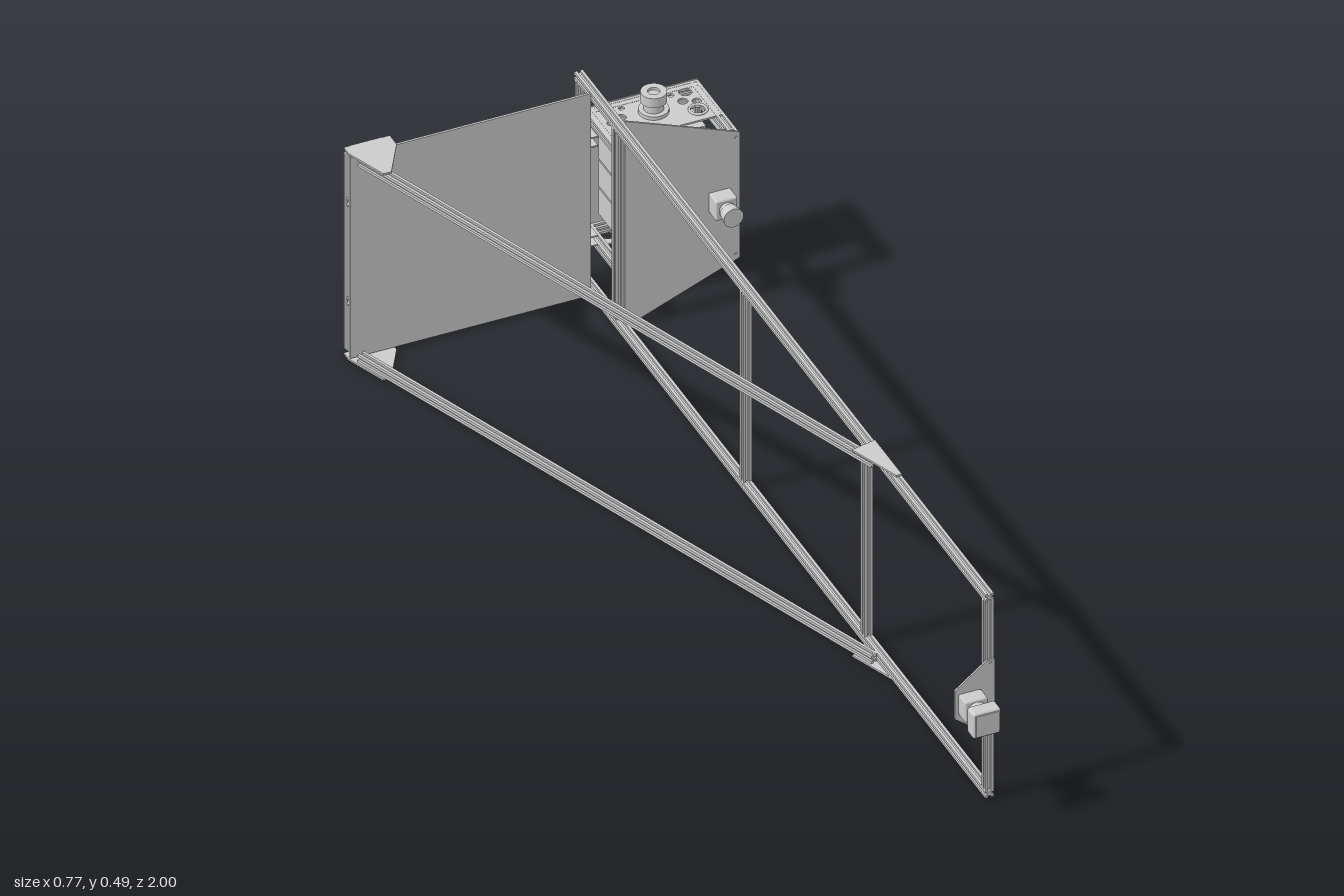
import * as THREE from 'three';
import { RoundedBoxGeometry } from 'three/addons/geometries/RoundedBoxGeometry.js';

const grey = new THREE.MeshStandardMaterial({ color: 0xcccccc, side: THREE.DoubleSide });
const S = 0.018; // width of the slotted rails
const TOP = 0.474, BOTTOM = 0.013, MID = 0.2435;

export function createModel() {
  const model = new THREE.Group();

  const add = (name, geometry, x = 0, y = 0, z = 0, parent = model) => {
    const mesh = new THREE.Mesh(geometry, grey);
    mesh.name = name;
    mesh.position.set(x, y, z);
    parent.add(mesh);
    return mesh;
  };
  // box given by its minimum and maximum corners
  const box = (name, a, b) => add(name,
    new THREE.BoxGeometry(b[0] - a[0], b[1] - a[1], b[2] - a[2]),
    (a[0] + b[0]) / 2, (a[1] + b[1]) / 2, (a[2] + b[2]) / 2);
  const shapeOf = pts => new THREE.Shape(pts.map(p => new THREE.Vector2(p[0], p[1])));
  const extrude = (shape, depth) =>
    new THREE.ExtrudeGeometry(shape, { depth, bevelEnabled: false, curveSegments: 12 });

  // flat plate facing z, points in x,y
  const uprightPlate = (name, pts, z, t) => add(name, extrude(shapeOf(pts), t), 0, 0, z);
  // flat plate facing y, points in x,z, with optional round holes
  const flatPlate = (name, pts, y, t, holes = []) => {
    const shape = shapeOf(pts.map(p => [p[0], -p[1]]));
    for (const [x, z, r] of holes) {
      shape.holes.push(new THREE.Path().absarc(x, -z, r, 0, Math.PI * 2, true));
    }
    const mesh = add(name, extrude(shape, t), 0, y, 0);
    mesh.rotation.x = -Math.PI / 2;
    return mesh;
  };

  // slotted square section, one side repeated four times
  const section = [];
  const h = S / 2, slot = 0.003, deep = 0.0045;
  for (let i = 0; i < 4; i++) {
    const c = Math.round(Math.cos(i * Math.PI / 2)), s = Math.round(Math.sin(i * Math.PI / 2));
    for (const [x, y] of [[h, -h], [h, -slot], [h - deep, -slot], [h - deep, slot], [h, slot]]) {
      section.push([x * c - y * s, x * s + y * c]);
    }
  }
  const rail = (name, from, to) => {
    const a = new THREE.Vector3(...from), b = new THREE.Vector3(...to);
    const mesh = add(name, extrude(shapeOf(section), a.distanceTo(b)), ...from);
    mesh.lookAt(b);
    return mesh;
  };

  // long upright frame
  const fx = 0.133;
  for (const y of [TOP, BOTTOM]) rail('frameRail', [fx, y, -0.998], [fx, y, 0.91]);
  for (const z of [0.901, 0.34, -0.222, -0.815, -0.988]) {
    rail('framePost', [fx, BOTTOM + h, z], [fx, TOP - h, z]);
  }

  // rear panel, its two cross rails and the end plate
  box('rearPanel', [-0.383, 0.006, -0.926], [0.124, 0.481, -0.921]);
  for (const y of [0.36, 0.127]) {
    rail('crossRail', [-0.38, y, -0.935], [0.124, y, -0.935]);
    for (const dy of [h, -h - 0.003]) {
      flatPlate('crossRailGusset',
        [[0.045, -0.945], [0.045, -0.927], [0.142, -0.927], [0.142, -0.985], [0.12, -0.985]], y + dy, 0.003);
    }
  }
  uprightPlate('endPlate', [[-0.385, 0.015], [-0.37, 0], [-0.305, 0], [-0.288, 0.02],
    [-0.288, 0.467], [-0.305, 0.487], [-0.37, 0.487], [-0.385, 0.472]], -0.948, 0.004);

  // diagonal braces with corner gussets, top and bottom
  for (const y of [TOP, BOTTOM]) {
    rail('diagonalBrace', [-0.366, y, -0.91], [0.118, y, 0.41]);
    const gy = y === TOP ? TOP + h : BOTTOM - h - 0.004;
    flatPlate('rearGusset', [[-0.385, -0.947], [-0.288, -0.947], [-0.288, -0.915],
      [-0.335, -0.836], [-0.352, -0.836], [-0.385, -0.925]], gy, 0.004);
    flatPlate('frontGusset', [[0.088, 0.37], [0.142, 0.358], [0.142, 0.483], [0.13, 0.483]], gy, 0.004);
  }

  // equipment box: front and back plates
  uprightPlate('boxFrontPlate',
    [[0.142, 0.487], [0.385, 0.391], [0.385, 0.097], [0.142, 0.002]], -0.806, 0.004);
  box('boxBackPlate', [0.124, 0.097, -1], [0.385, 0.391, -0.997]);

  // equipment box: slotted frame
  for (const y of [0.381, 0.107]) {
    for (const x of [0.152, 0.375]) rail('boxSideRail', [x, y, -0.997], [x, y, -0.806]);
    for (const z of [-0.815, -0.988]) rail('boxCrossRail', [0.142, y, z], [0.384, y, z]);
  }
  for (const z of [-0.815, -0.988]) rail('boxPost', [0.375, 0.116, z], [0.375, 0.372, z]);

  // perforated upper and lower decks with a round knob on each
  const cx = 0.263, cz = -0.935;
  const holes = [];
  for (const s of [1, -1]) {
    for (const [dx, dz, r] of [[0.082, -0.034, 0.013], [0.065, -0.008, 0.01], [0.09, 0.002, 0.009],
      [0.078, 0.03, 0.014], [0.052, -0.035, 0.006]]) holes.push([cx + s * dx, cz + dz, r]);
  }
  const deck = [[0.145, -0.997], [0.383, -0.997], [0.383, -0.872], [0.145, -0.872]];
  const knobProfile = [[0, 0], [0.03, 0], [0.03, 0.008], [0.02, 0.008], [0.02, 0.026],
    [0.026, 0.026], [0.026, 0.048], [0.012, 0.048], [0.012, 0.042], [0, 0.042]];
  for (const up of [1, -1]) {
    flatPlate('boxDeck', deck, MID + up * 0.144 - 0.002, 0.004, holes);
    box('deckLip', [0.372, MID + up * 0.118 - 0.012, -0.98], [0.378, MID + up * 0.118 + 0.012, -0.825]);
    const knob = add('deckKnob',
      new THREE.LatheGeometry(knobProfile.map(p => new THREE.Vector2(...p)), 32).toNonIndexed(),
      cx, MID + up * 0.146, cz);
    knob.geometry.computeVertexNormals();
    if (up < 0) knob.rotation.x = Math.PI;
    for (const s of [1, -1]) {
      const ring = add('deckRing', new THREE.TorusGeometry(0.017, 0.003, 6, 24),
        cx + s * 0.08, MID + up * 0.147, cz + 0.03);
      ring.rotation.x = Math.PI / 2;
    }
  }

  // stacked modules inside the box
  for (let i = 0; i < 3; i++) {
    const y = 0.152 + i * 0.065;
    box('innerModule', [0.165, y, -0.975], [0.362, y + 0.061, -0.91]);
  }
  box('innerModuleFront', [0.18, 0.148, -0.91], [0.35, 0.31, -0.87]);

  // front camera bracket and camera with a square hood
  uprightPlate('cameraBracket', [[0.125, 0.33], [0.142, 0.33], [0.142, 0.16], [0.125, 0.16],
    [0.058, 0.212], [0.058, 0.278]], 0.91, 0.004);
  const cylinderZ = (name, r0, r1, len, x, y, z) => {
    const mesh = add(name, new THREE.CylinderGeometry(r1, r0, len, 32), x, y, z);
    mesh.rotation.x = Math.PI / 2;
    return mesh;
  };
  const kx = 0.0885, ky = 0.246;
  add('frontCameraBody', new RoundedBoxGeometry(0.048, 0.048, 0.034, 2, 0.004), kx, ky, 0.931);
  cylinderZ('frontCameraNeck', 0.02, 0.018, 0.03, kx, ky, 0.958);
  add('frontCameraHood', new RoundedBoxGeometry(0.059, 0.059, 0.032, 2, 0.006), kx, ky, 0.982);
  add('frontCameraWindow', new RoundedBoxGeometry(0.05, 0.05, 0.004, 2, 0.0015), kx, ky, 0.998);

  // second camera on the box front plate with a round lens
  const lx = 0.341, ly = 0.2445;
  add('boxCameraBody', new RoundedBoxGeometry(0.046, 0.046, 0.036, 2, 0.004), lx, ly, -0.785);
  cylinderZ('boxCameraNeck', 0.016, 0.016, 0.02, lx, ly, -0.762);
  cylinderZ('boxCameraLens', 0.018, 0.021, 0.024, lx, ly, -0.747);

  // screw heads on the end plate, box back and front plates
  const screw = (x, y, z) => cylinderZ('screw', 0.003, 0.003, 0.002, x, y, z);
  for (const y of [0.36, 0.127]) {
    for (const dy of [-0.035, 0.035]) for (const x of [-0.36, -0.315]) screw(x, y + dy, -0.9485);
  }
  for (const y of [0.381, 0.107]) {
    for (const x of [0.16, 0.2, 0.32, 0.36]) screw(x, y, -0.9995);
    screw(0.376, y, -0.8015);
  }
  for (const y of [0.322, 0.168]) screw(0.134, y, 0.9145);

  return model;
}
